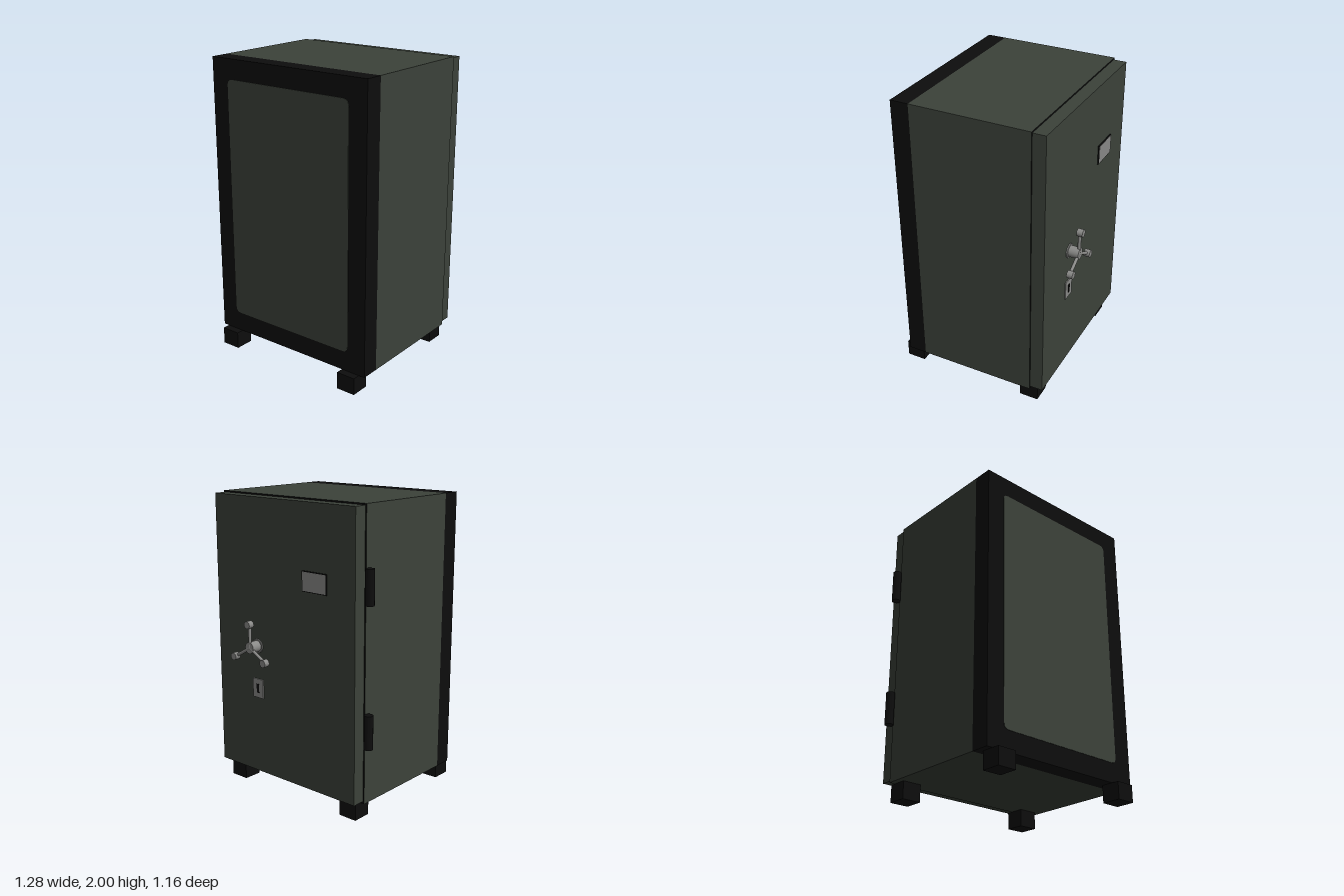
import * as THREE from 'three';

const flat = (name, color) => {
  const m = new THREE.MeshStandardMaterial({ color });
  m.name = name;
  return m;
};

export function createModel() {
  const green = flat('dark green paint', 0x3c423a);
  const black = flat('black trim', 0x0d0d0d);
  const steel = flat('brushed steel', 0x8a8a88);

  const model = new THREE.Group();
  model.name = 'safe';

  const add = (name, geometry, material, parent = model) => {
    const mesh = new THREE.Mesh(geometry, material);
    mesh.name = name;
    parent.add(mesh);
    return mesh;
  };
  // Box given by its lower and upper limits on each axis
  const box = (name, [x0, x1], [y0, y1], [z0, z1], material, parent) => {
    const mesh = add(name, new THREE.BoxGeometry(x1 - x0, y1 - y0, z1 - z0), material, parent);
    mesh.position.set((x0 + x1) / 2, (y0 + y1) / 2, (z0 + z1) / 2);
    return mesh;
  };
  // Cylinder lying along z
  const zCylinder = (name, r, [z0, z1], x, y, material, parent) => {
    const g = new THREE.CylinderGeometry(r, r, z1 - z0, 20).rotateX(Math.PI / 2);
    const mesh = add(name, g, material, parent);
    mesh.position.set(x, y, (z0 + z1) / 2);
    return mesh;
  };

  // Cabinet: green shell with a black door rim, and a black band at the far end
  box('cabinet', [-0.58, 0.637], [0.115, 2], [-0.4, 0.405],
    [green, green, green, green, green, black]);
  box('endBand', [-0.58, 0.637], [0.115, 2], [0.405, 0.53], black);

  // Rounded panel set in the black end
  const x0 = -0.453, x1 = 0.505, y0 = 0.248, y1 = 1.868, r = 0.04;
  const s = new THREE.Shape();
  s.moveTo(x0 + r, y0);
  s.lineTo(x1 - r, y0).quadraticCurveTo(x1, y0, x1, y0 + r);
  s.lineTo(x1, y1 - r).quadraticCurveTo(x1, y1, x1 - r, y1);
  s.lineTo(x0 + r, y1).quadraticCurveTo(x0, y1, x0, y1 - r);
  s.lineTo(x0, y0 + r).quadraticCurveTo(x0, y0, x0 + r, y0);
  const panel = add('endPanel',
    new THREE.ExtrudeGeometry(s, { depth: 0.004, bevelEnabled: false, curveSegments: 6 }), green);
  panel.position.z = 0.529;

  // Door
  box('door', [-0.57, 0.627], [0.13, 1.99], [-0.487, -0.4], green);

  // Feet
  for (const x of [-0.473, 0.527]) {
    for (const z of [-0.372, 0.515]) {
      box('foot', [x - 0.066, x + 0.066], [0, 0.115], [z - 0.065, z + 0.065], black);
    }
  }

  // Hinge barrels
  for (const y of [0.605, 1.513]) {
    const hinge = add('hinge', new THREE.CylinderGeometry(0.03, 0.03, 0.223, 10), black);
    hinge.position.set(-0.61, y, -0.4);
  }

  // Name plate: black backing with a bare steel face
  box('plateBacking', [-0.35, -0.15], [1.44, 1.57], [-0.495, -0.487], black);
  box('plateFace', [-0.345, -0.155], [1.445, 1.565], [-0.497, -0.494], steel);

  // Key plate and keyhole
  box('keyPlate', [0.213, 0.307], [0.66, 0.79], [-0.494, -0.487], steel);
  box('keyhole', [0.25, 0.27], [0.695, 0.755], [-0.497, -0.493], black);

  // Three-spoke handle
  const handle = new THREE.Group();
  handle.name = 'handle';
  handle.position.set(0.26, 1.017, 0);
  model.add(handle);
  zCylinder('handleFlange', 0.048, [-0.495, -0.487], 0, 0, steel, handle);
  zCylinder('handleHub', 0.038, [-0.565, -0.487], 0, 0, steel, handle);
  for (let i = 0; i < 3; i++) {
    const arm = new THREE.Group();
    arm.name = 'handleArm';
    arm.rotation.z = (i * 2 * Math.PI) / 3;
    handle.add(arm);
    const spoke = add('spoke', new THREE.CylinderGeometry(0.011, 0.011, 0.155, 12), steel, arm);
    spoke.position.set(0, 0.0775, -0.556);
    zCylinder('knob', 0.025, [-0.582, -0.542], 0, 0.156, steel, arm);
  }

  return model;
}
